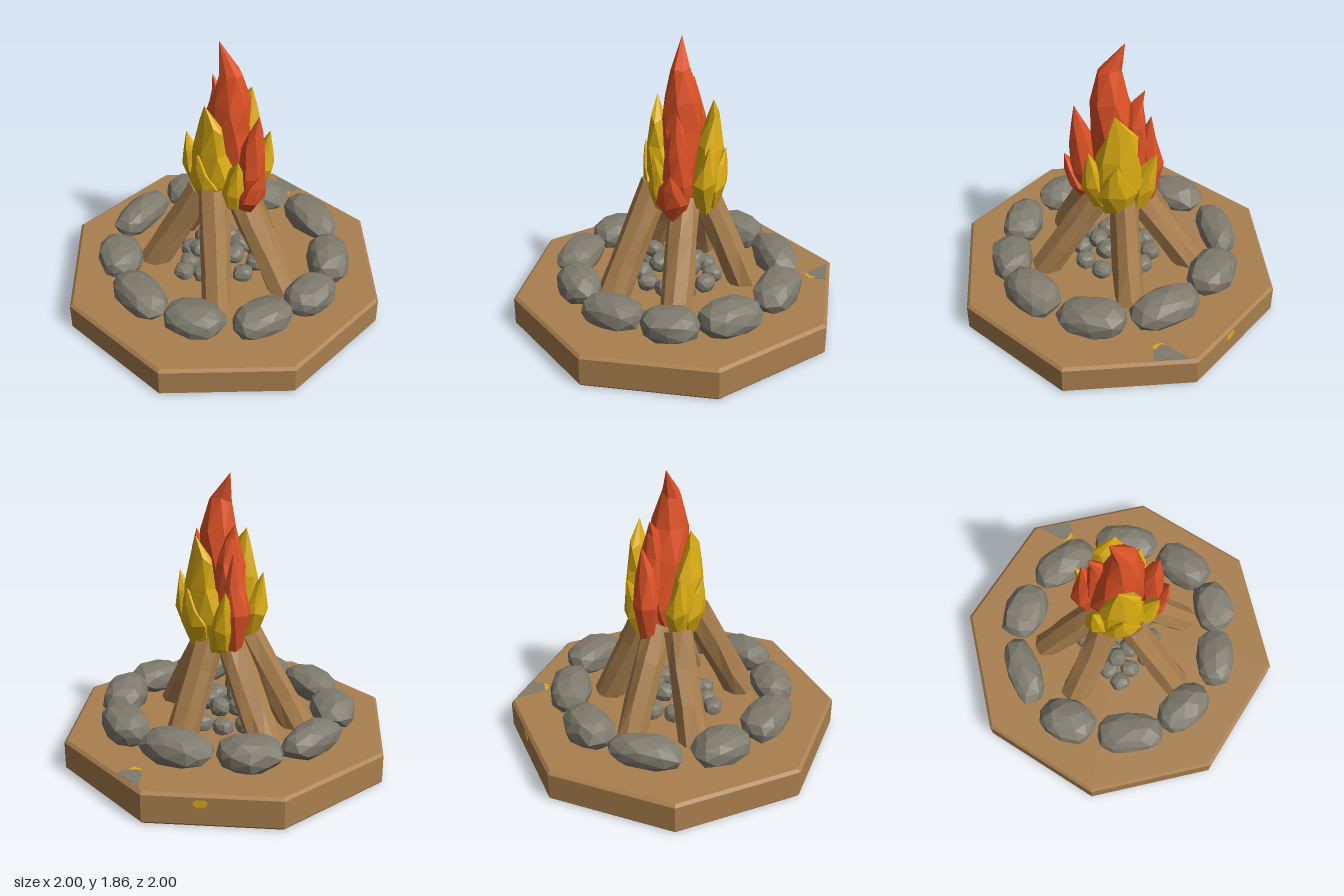
import * as THREE from 'three';

const material = (name, color, double = false) => {
  const m = new THREE.MeshStandardMaterial({ color, flatShading: true });
  m.name = name;
  if (double) m.side = THREE.DoubleSide;
  return m;
};

// Repeatable noise in -1..1, equal for vertices that share a position
const noise = (x, y, z, seed) => {
  const r = (v) => Math.round(v * 1000) / 1000;
  const s = Math.sin(r(x) * 12.99 + r(y) * 78.23 + r(z) * 37.72 + seed * 4.13) * 43758.55;
  return (s - Math.floor(s)) * 2 - 1;
};

function jitter(geometry, amount, seed) {
  const p = geometry.attributes.position;
  for (let i = 0; i < p.count; i++) {
    const [x, y, z] = [p.getX(i), p.getY(i), p.getZ(i)];
    p.setXYZ(i, x + amount * noise(x, y, z, seed), y + amount * noise(y, z, x, seed + 1),
      z + amount * noise(z, x, y, seed + 2));
  }
  geometry.computeVertexNormals();
  return geometry;
}

// Faceted stone, slightly boxier than an ellipsoid
function stoneGeometry(seed, detail) {
  const g = new THREE.IcosahedronGeometry(1, detail);
  const p = g.attributes.position;
  const square = (v) => Math.sign(v) * Math.pow(Math.abs(v), 0.85);
  for (let i = 0; i < p.count; i++) p.setXYZ(i, square(p.getX(i)), square(p.getY(i)), square(p.getZ(i)));
  return jitter(g, 0.07, seed);
}

// Flame tongue: rings of [x, y, z, radiusX, radiusZ] closed by a pointed tip
function tongueGeometry(rings, tip, seed) {
  const n = 7, pos = [], idx = [];
  rings.forEach(([x, y, z, rx, rz], j) => {
    for (let i = 0; i < n; i++) {
      const a = (i + j * 0.35) / n * Math.PI * 2;
      const k = 1 + 0.1 * noise(i, j, 0, seed);
      pos.push(x + Math.cos(a) * rx * k, y + 0.03 * noise(j, i, 1, seed), z + Math.sin(a) * rz * k);
    }
  });
  const top = rings.length * n;
  pos.push(...tip, rings[0][0], rings[0][1] - 0.03, rings[0][2]);
  for (let i = 0; i < n; i++) {
    const k = (i + 1) % n;
    for (let j = 0; j < rings.length - 1; j++) {
      const a = j * n + i, b = j * n + k;
      idx.push(a, a + n, b, b, a + n, b + n);
    }
    idx.push(top - n + i, top, top - n + k, top + 1, i, k);
  }
  const g = new THREE.BufferGeometry();
  g.setAttribute('position', new THREE.Float32BufferAttribute(pos, 3));
  g.setIndex(idx);
  g.computeVertexNormals();
  return g;
}

export function createModel() {
  const root = new THREE.Group();
  root.name = 'campfire';
  const wood = material('brown wood', 0xa97f4e);
  const rock = material('grey stone', 0x7f7b6e);
  const red = material('red flame', 0xdf5226, true);
  const yellow = material('yellow flame', 0xdcae12, true);

  const add = (name, geometry, mat, parent = root) => {
    const m = new THREE.Mesh(geometry, mat);
    m.name = name;
    parent.add(m);
    return m;
  };

  // Octagonal base with a small top bevel
  const profile = [[0, 0], [1.068, 0], [1.082, 0.015], [1.082, 0.19], [1.062, 0.207], [0, 0.207]];
  add('base', new THREE.LatheGeometry(profile.map(([x, y]) => new THREE.Vector2(x, y)), 8, Math.PI / 8), wood);

  // Outer stones: x, z, half length, half width, half height, angle in the ground plane
  [[-0.26, -0.62, 0.235, 0.135, 0.11, 0.38], [0.2, -0.68, 0.23, 0.135, 0.11, -0.25],
    [0.57, -0.42, 0.215, 0.14, 0.11, -0.85], [0.7, -0.07, 0.19, 0.14, 0.1, -1.5],
    [0.62, 0.3, 0.205, 0.135, 0.1, 1.3], [0.32, 0.59, 0.2, 0.135, 0.1, 0.55],
    [-0.08, 0.68, 0.225, 0.14, 0.1, -0.12], [-0.46, 0.51, 0.2, 0.145, 0.1, -0.6],
    [-0.69, 0.1, 0.25, 0.115, 0.1, -1.45], [-0.6, -0.33, 0.2, 0.145, 0.11, 0.9],
  ].forEach(([x, z, l, w, h, angle], i) => {
    const s = add('ringStone', stoneGeometry(i * 3 + 1, 1), rock);
    s.position.set(x, 0.2 + h * 0.93, z);
    s.rotation.y = angle;
    s.scale.set(l, h, w);
  });

  // Small stones heaped under the logs
  const pebble = (x, y, z, r, seed) => {
    const s = add('pebble', stoneGeometry(seed, 1), rock);
    s.position.set(x, y, z);
    s.rotation.y = seed;
    s.scale.set(r, r * 0.9, r * 1.1);
  };
  for (let i = 0; i < 10; i++) {
    const a = i / 10 * Math.PI * 2 + 0.2;
    pebble(Math.cos(a) * 0.23, 0.255, Math.sin(a) * 0.23, 0.062, i + 40);
  }
  for (let i = 0; i < 6; i++) {
    const a = i / 6 * Math.PI * 2 + 0.1;
    pebble(Math.cos(a) * 0.12, 0.34, Math.sin(a) * 0.12, 0.065, i + 60);
  }
  pebble(-0.06, 0.27, 0.31, 0.06, 71);
  pebble(-0.05, 0.39, 0.17, 0.06, 72);

  // Leaning logs: foot point and top point
  [[[0.32, 0.18, 0.38], [0.04, 0.91, 0.13]], [[-0.37, 0.18, 0.29], [-0.1, 0.82, 0.08]],
    [[-0.5, 0.18, -0.09], [-0.08, 0.82, -0.06]], [[0.49, 0.18, -0.07], [0.08, 0.83, -0.06]],
    [[-0.05, 0.18, -0.44], [-0.03, 0.88, -0.15]],
  ].forEach(([foot, top], i) => {
    const a = new THREE.Vector3(...foot), b = new THREE.Vector3(...top);
    const dir = b.clone().sub(a);
    const len = dir.length();
    const g = new THREE.CylinderGeometry(0.095, 0.1, len, 8, 3);
    const log = add('log', jitter(g, 0.009, i * 5 + 2), wood);
    log.position.copy(a).add(b).multiplyScalar(0.5);
    log.quaternion.setFromUnitVectors(new THREE.Vector3(0, 1, 0), dir.normalize());
  });

  // Red flame tongues
  [
    [[[0, 0.78, -0.03, 0.1, 0.07], [0, 1, -0.03, 0.18, 0.11], [0.02, 1.3, -0.03, 0.15, 0.13],
      [0.04, 1.48, -0.03, 0.12, 0.11], [0.04, 1.67, -0.02, 0.075, 0.06]], [-0.05, 1.86, -0.02]],
    [[[-0.1, 0.85, -0.09, 0.07, 0.06], [-0.13, 1.1, -0.1, 0.11, 0.09],
      [-0.11, 1.35, -0.09, 0.07, 0.07], [-0.12, 1.47, -0.08, 0.04, 0.04]], [-0.165, 1.57, -0.08]],
    [[[-0.18, 0.79, -0.1, 0.05, 0.05], [-0.2, 1.02, -0.1, 0.085, 0.09],
      [-0.185, 1.22, -0.11, 0.06, 0.06]], [-0.2, 1.41, -0.12]],
    [[[0.17, 0.8, -0.04, 0.06, 0.06], [0.21, 1.02, -0.04, 0.085, 0.09],
      [0.22, 1.22, -0.04, 0.08, 0.07], [0.235, 1.34, -0.04, 0.045, 0.04]], [0.26, 1.46, -0.04]],
    [[[0.18, 0.76, -0.01, 0.05, 0.06], [0.24, 0.88, -0.01, 0.065, 0.1],
      [0.285, 0.98, -0.01, 0.045, 0.07]], [0.33, 1.09, -0.01]],
  ].forEach(([rings, tip], i) => add('redFlame', tongueGeometry(rings, tip, i + 3), red));

  // Yellow flame: one cluster in front, the same one turned round at the back
  const yellowParts = [
    [[[0, 0.76, 0.07, 0.1, 0.07], [-0.01, 0.97, 0.09, 0.19, 0.1], [-0.01, 1.2, 0.11, 0.13, 0.08],
      [0.02, 1.36, 0.12, 0.085, 0.045]], [-0.03, 1.49, 0.13]],
    [[[-0.1, 0.8, 0.08, 0.06, 0.06], [-0.165, 0.97, 0.09, 0.075, 0.08],
      [-0.165, 1.11, 0.11, 0.055, 0.05]], [-0.19, 1.24, 0.13]],
    [[[0.12, 0.78, 0.07, 0.07, 0.06], [0.155, 0.93, 0.08, 0.075, 0.08],
      [0.185, 1.06, 0.09, 0.055, 0.05]], [0.23, 1.19, 0.11]],
    [[[0, 0.78, 0.12, 0.07, 0.05], [-0.01, 0.93, 0.15, 0.12, 0.07],
      [-0.02, 1.06, 0.18, 0.07, 0.04]], [-0.02, 1.18, 0.21]],
  ];
  for (const back of [false, true]) {
    const cluster = new THREE.Group();
    cluster.name = back ? 'backYellowFlame' : 'frontYellowFlame';
    if (back) {
      cluster.rotation.y = Math.PI;
      cluster.position.z = -0.1;
    }
    yellowParts.forEach(([rings, tip], i) => add('yellowFlame', tongueGeometry(rings, tip, i + 20), yellow, cluster));
    root.add(cluster);
  }

  // Stray colour patches lying on the base
  const patch = (name, points, mat) => {
    const shape = new THREE.Shape(points.map(([x, z]) => new THREE.Vector2(x, -z)));
    const m = add(name, new THREE.ExtrudeGeometry(shape, { depth: 0.004, bevelEnabled: false }), mat);
    m.rotation.x = -Math.PI / 2;
    m.position.y = 0.206;
  };
  patch('greyPatch', [[-0.36, -0.975], [-0.15, -0.975], [-0.15, -0.9], [-0.2, -0.85], [-0.25, -0.87]], rock);
  patch('yellowPatch', [[-0.16, -0.91], [-0.15, -0.86], [-0.19, -0.84], [-0.22, -0.84]], yellow);
  const spot = add('sideSpot', new THREE.CylinderGeometry(0.045, 0.045, 0.006, 7), yellow);
  spot.scale.z = 0.6;
  spot.position.set(-0.657, 0.15, -0.755);
  spot.quaternion.setFromEuler(new THREE.Euler(Math.PI / 2, Math.PI * 1.25, 0, 'YXZ'));

  return root;
}
